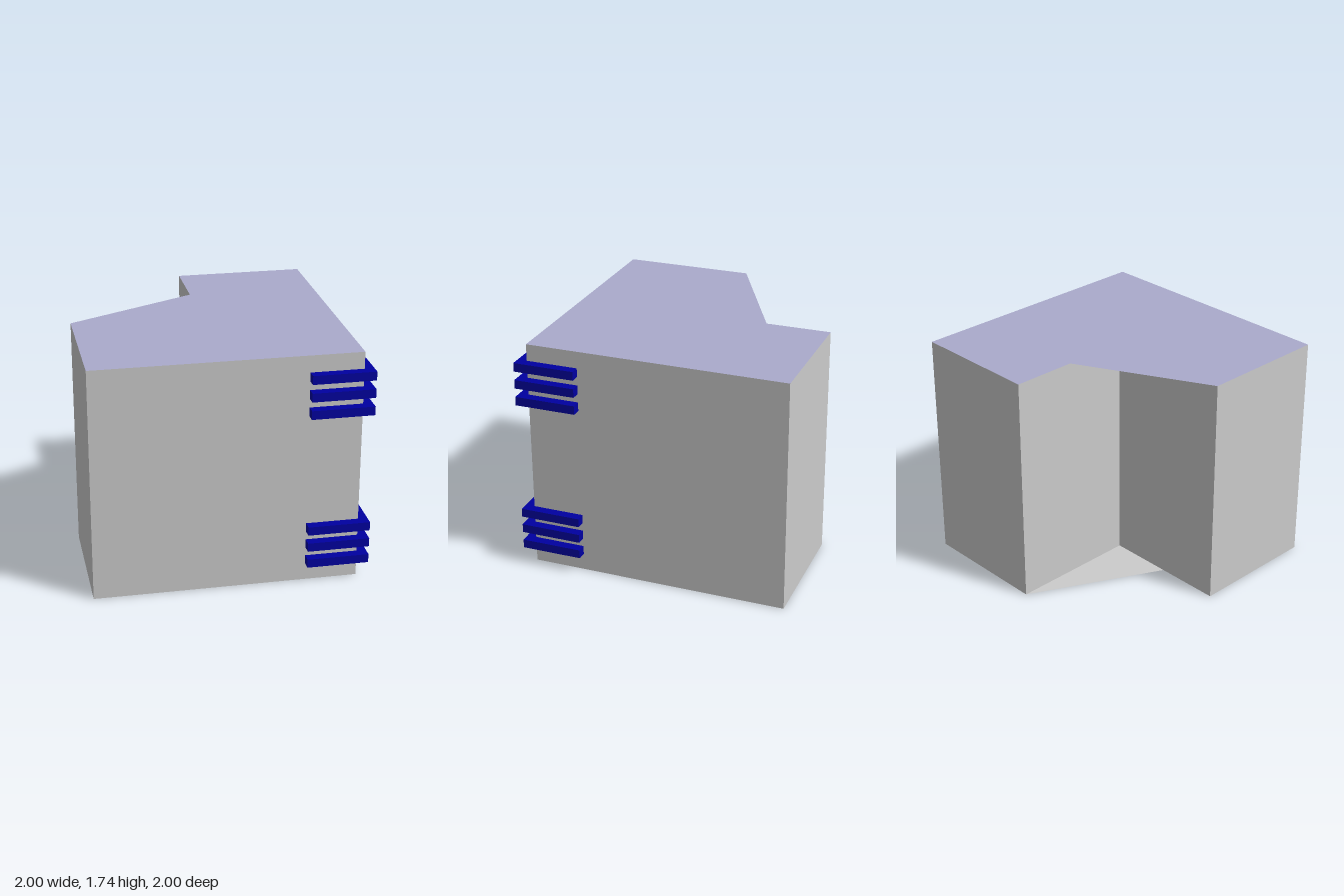
import * as THREE from 'three';

const HEIGHT = 1.74;
const IN = -0.035; // inner corner of the L plan, same in x and z
const OUT = 0.93;

const grey = new THREE.MeshStandardMaterial({ color: 0xcccccc, side: THREE.DoubleSide });
const paleBlue = new THREE.MeshStandardMaterial({ color: 0xaaaacc, side: THREE.DoubleSide });
const darkBlue = new THREE.MeshStandardMaterial({ color: 0x0000a0 });

// Plan outline given as [x, z] pairs
const planShape = (points) => new THREE.Shape(points.map(([x, z]) => new THREE.Vector2(x, -z)));

function sheet(name, points, y, material) {
  const geometry = new THREE.ShapeGeometry(planShape(points)).rotateX(-Math.PI / 2);
  const mesh = new THREE.Mesh(geometry, material);
  mesh.name = name;
  mesh.position.y = y;
  return mesh;
}

function wall([x1, z1], [x2, z2]) {
  const dx = x2 - x1, dz = z2 - z1;
  const mesh = new THREE.Mesh(new THREE.PlaneGeometry(Math.hypot(dx, dz), HEIGHT), grey);
  mesh.position.set((x1 + x2) / 2, HEIGHT / 2, (z1 + z2) / 2);
  mesh.rotation.y = Math.atan2(-dz, dx);
  mesh.name = 'wall';
  return mesh;
}

export function createModel() {
  const model = new THREE.Group();
  model.name = 'cornerCabinet';

  // Upright panels around the L-shaped plan
  const plan = [[-1, OUT], [OUT, OUT], [OUT, -1], [IN, -1], [IN, IN], [-1, IN]];
  const walls = new THREE.Group();
  walls.name = 'walls';
  plan.forEach((p, i) => walls.add(wall(p, plan[(i + 1) % plan.length])));
  model.add(walls);

  // Top and bottom each fill part of the inner corner with a different triangle
  const outer = plan.slice(0, 4);
  model.add(sheet('top', [...outer, [IN, -0.52], [-1, IN]], HEIGHT, paleBlue));
  model.add(sheet('bottom', [...outer, [-0.515, IN], [-1, IN]], 0, grey));

  // Angle brackets wrapped around the front left corner
  const start = 0.545;
  const bracketGeometry = new THREE.ExtrudeGeometry(
    planShape([[start, OUT], [start, 1], [1, 1], [1, start], [OUT, start], [OUT, OUT]]),
    { depth: 0.065, bevelEnabled: false }
  ).rotateX(-Math.PI / 2);
  const brackets = new THREE.Group();
  brackets.name = 'cornerBrackets';
  for (const base of [0.13, 1.29]) {
    for (let i = 0; i < 3; i++) {
      const bracket = new THREE.Mesh(bracketGeometry, darkBlue);
      bracket.name = 'cornerBracket';
      bracket.position.y = base + i * 0.13;
      brackets.add(bracket);
    }
  }
  model.add(brackets);

  return model;
}
